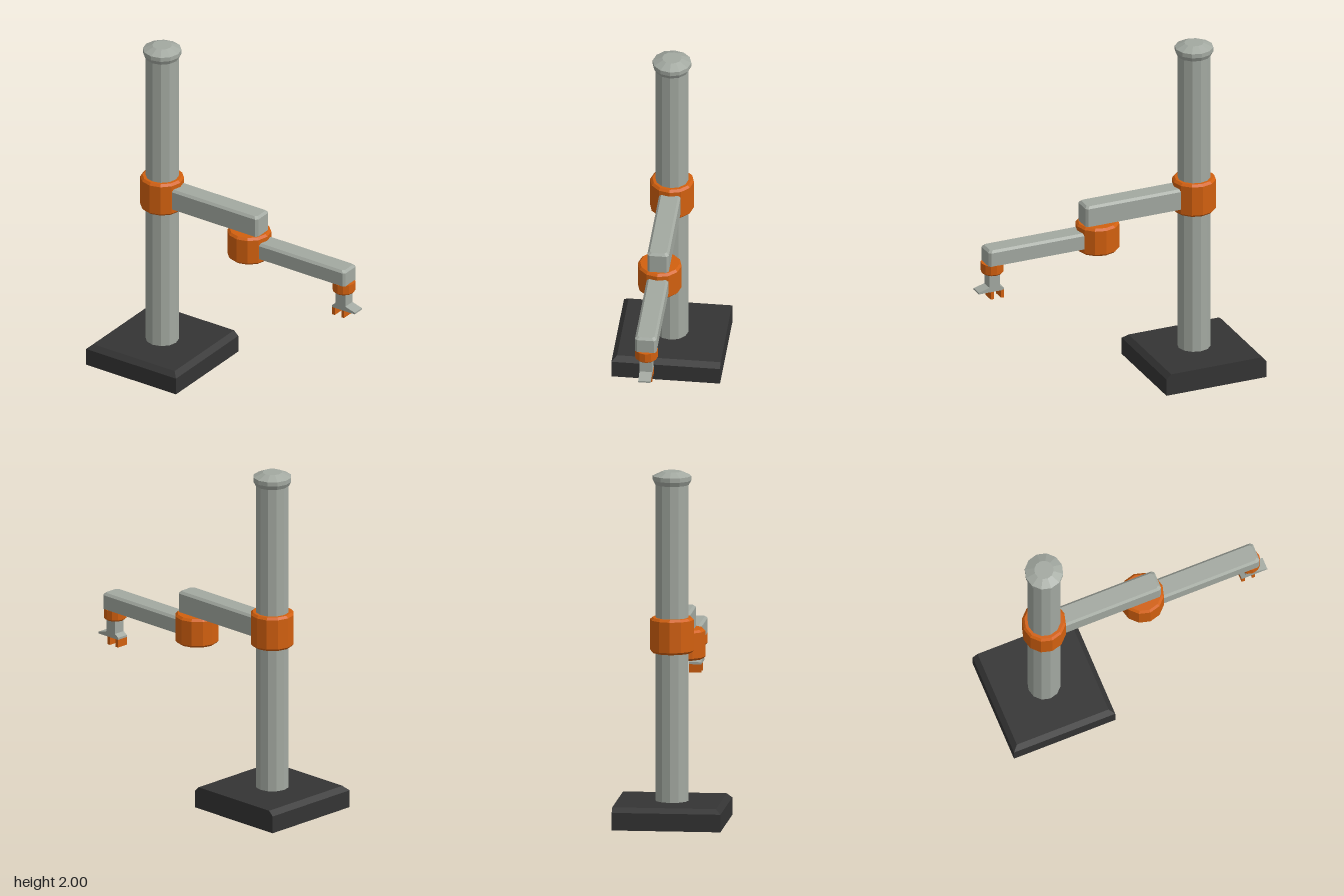
import * as THREE from 'three';

const steel = new THREE.MeshStandardMaterial({ color: 0xa3a9a1 });
steel.name = 'steelGrey';
const orange = new THREE.MeshStandardMaterial({ color: 0xd2600f });
orange.name = 'jointOrange';
const dark = new THREE.MeshStandardMaterial({ color: 0x343434 });
dark.name = 'baseCharcoal';

// Faceted normals
function flat(geometry) {
  const g = geometry.index ? geometry.toNonIndexed() : geometry;
  g.computeVertexNormals();
  return g;
}

// Twelve-sided turned part; profile of [radius, y] from bottom to top
function turned(profile) {
  return flat(new THREE.LatheGeometry(profile.map(([r, y]) => new THREE.Vector2(r, y)), 12));
}

// Solid through matching horizontal rings { y, pts: [[x, z], ...] }, bottom to top
function loft(rings) {
  const n = rings[0].pts.length;
  const pos = rings.flatMap(({ y, pts }) => pts.flatMap(([x, z]) => [x, y, z]));
  const idx = [];
  for (let r = 0; r < rings.length - 1; r++) {
    for (let i = 0; i < n; i++) {
      const a = r * n + i, b = r * n + (i + 1) % n;
      idx.push(a, b, b + n, a, b + n, a + n);
    }
  }
  const top = (rings.length - 1) * n;
  for (let i = 1; i < n - 1; i++) {
    idx.push(0, i + 1, i, top, top + i, top + i + 1);
  }
  const g = new THREE.BufferGeometry();
  g.setAttribute('position', new THREE.Float32BufferAttribute(pos, 3));
  g.setIndex(idx);
  return flat(g);
}

// Arm beam with bevelled top and bevelled free end
function beam(x0, x1, y0, y1) {
  const c = 0.013;
  const ring = (y, inset) => {
    const w = 0.061 - inset, e = x1 - inset;
    return { y, pts: [[x0, w], [e - c, w], [e, w - c], [e, c - w], [e - c, -w], [x0, -w]] };
  };
  return loft([ring(y0, 0), ring(y1 - c, 0), ring(y1, c)]);
}

export function createModel() {
  const model = new THREE.Group();
  model.name = 'columnRobotArm';
  const add = (name, geometry, material, x = 0, y = 0, z = 0) => {
    const mesh = new THREE.Mesh(geometry, material);
    mesh.name = name;
    mesh.position.set(x, y, z);
    model.add(mesh);
  };
  const columnX = -0.517, elbowX = 0.078, wristX = 0.725;

  // Base plate, bevelled on the front and the two sides
  const plate = (y, c) => ({
    y, pts: [[c - 0.307, 0.307 - c], [0.307 - c, 0.307 - c], [0.307 - c, -0.307], [c - 0.307, -0.307]],
  });
  add('base', loft([plate(0, 0), plate(0.1, 0), plate(0.127, 0.029)]), dark, columnX);

  // Column and its cap
  add('column', turned([[0.094, 0.12], [0.094, 1.94]]), steel, columnX);
  add('columnCap', turned([[0, 1.925], [0.096, 1.925], [0.109, 1.95], [0.109, 1.975], [0.055, 2], [0, 2]]),
    steel, columnX);

  // Shoulder and elbow joints
  const joint = (y0, y1) => turned([[0, y0], [0.111, y0], [0.124, y0 + 0.013],
    [0.124, y1 - 0.013], [0.111, y1], [0, y1]]);
  add('shoulderJoint', joint(0.97, 1.17), orange, columnX);
  add('elbowJoint', joint(0.84, 1.01), orange, elbowX);

  // Arm beams
  add('upperArm', beam(columnX + 0.05, 0.173, 1.01, 1.132), steel);
  add('forearm', beam(elbowX + 0.05, 0.77, 0.877, 0.972), steel);

  // Wrist
  add('wristJoint', turned([[0, 0.813], [0.055, 0.813], [0.065, 0.823], [0.065, 0.878], [0, 0.878]]),
    orange, wristX);
  add('wristStem', new THREE.BoxGeometry(0.066, 0.085, 0.07), steel, wristX, 0.775);

  // Gripper palm with a long tapered lip
  const palm = new THREE.Shape([[0.667, 0.708], [0.823, 0.708], [0.823, 0.718], [0.758, 0.737],
    [0.692, 0.737], [0.667, 0.72]].map(([x, y]) => new THREE.Vector2(x, y)));
  add('gripperPalm', flat(new THREE.ExtrudeGeometry(palm, { depth: 0.07, bevelEnabled: false })),
    steel, 0, 0, -0.035);

  // Gripper fingers
  [['innerFinger', 0.677], ['outerFinger', 0.74]].forEach(([name, x]) => {
    add(name, new THREE.BoxGeometry(0.019, 0.048, 0.07), orange, x, 0.686);
  });

  return model;
}
